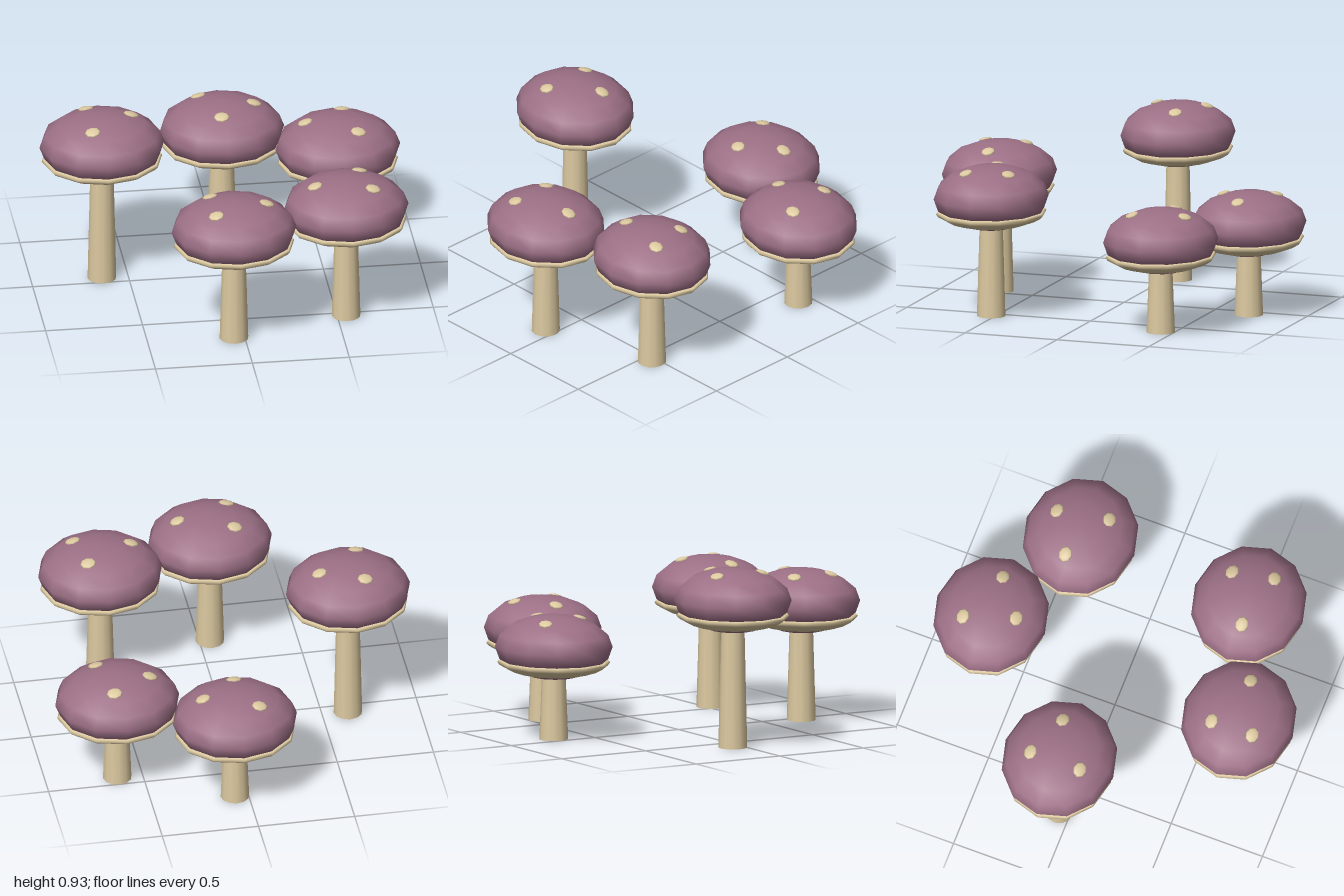
import * as THREE from 'three';

const capMat = new THREE.MeshStandardMaterial({ color: 0x9d7086 });
const paleMat = new THREE.MeshStandardMaterial({ color: 0xdcc9a0 });

// Cap half-sizes
const A = 0.322, B = 0.165, C = 0.294;

// x, z, cap centre height, and [dx, dz] of each spot on the cap
const MUSHROOMS = [
  [-0.635, -0.06, 0.763, [[-0.066, -0.134], [0.156, -0.042], [-0.066, 0.137]]],
  [0.069, -0.704, 0.478, [[-0.108, -0.114], [0.166, 0], [-0.02, 0.145]]],
  [0.631, -0.43, 0.478, [[0.04, -0.145], [-0.166, -0.02], [0.09, 0.124]]],
  [0.547, 0.524, 0.62, [[0.085, -0.124], [-0.164, 0.024], [0.127, 0.092]]],
  [-0.055, 0.7, 0.62, [[-0.11, -0.108], [0.169, 0], [-0.106, 0.114]]],
];

// Domed cap and its pale underside ring, both twelve-sided
const capGeo = new THREE.SphereGeometry(1, 12, 8).scale(A, B, C);
const ringProfile = [
  [0.18, -0.125], [0.195, -0.135], [0.255, -0.117], [0.298, -0.095],
  [0.311, -0.08], [0.303, -0.07], [0.25, -0.066],
].map(([r, y]) => new THREE.Vector2(r, y));
const ringGeo = new THREE.LatheGeometry(ringProfile, 12).scale(1, 1, 0.905);
const spotGeo = new THREE.SphereGeometry(1, 8, 6).scale(0.041, 0.012, 0.035);

function add(parent, name, geo, mat, x, y, z) {
  const mesh = new THREE.Mesh(geo, mat);
  mesh.name = name;
  mesh.position.set(x, y, z);
  parent.add(mesh);
  return mesh;
}

function mushroom(x, z, h, spots) {
  const g = new THREE.Group();
  g.name = 'mushroom';
  g.position.set(x, 0, z);

  // Tapered stem, ending inside the cap
  const stemTop = h - 0.1;
  add(g, 'stem', new THREE.CylinderGeometry(0.059, 0.074, stemTop, 12), paleMat, 0, stemTop / 2, 0);
  add(g, 'cap', capGeo, capMat, 0, h, 0);
  add(g, 'gillRing', ringGeo, paleMat, 0, h, 0);

  // Spots lie flat against the dome
  for (const [dx, dz] of spots) {
    const dy = B * Math.sqrt(1 - (dx / A) ** 2 - (dz / C) ** 2);
    const normal = new THREE.Vector3(dx / A ** 2, dy / B ** 2, dz / C ** 2).normalize();
    const spot = add(g, 'spot', spotGeo, paleMat, dx, h + dy - 0.002, dz);
    spot.quaternion.setFromUnitVectors(new THREE.Vector3(0, 1, 0), normal);
  }
  return g;
}

export function createModel() {
  const model = new THREE.Group();
  model.name = 'mushroomRing';
  for (const m of MUSHROOMS) model.add(mushroom(...m));
  return model;
}
